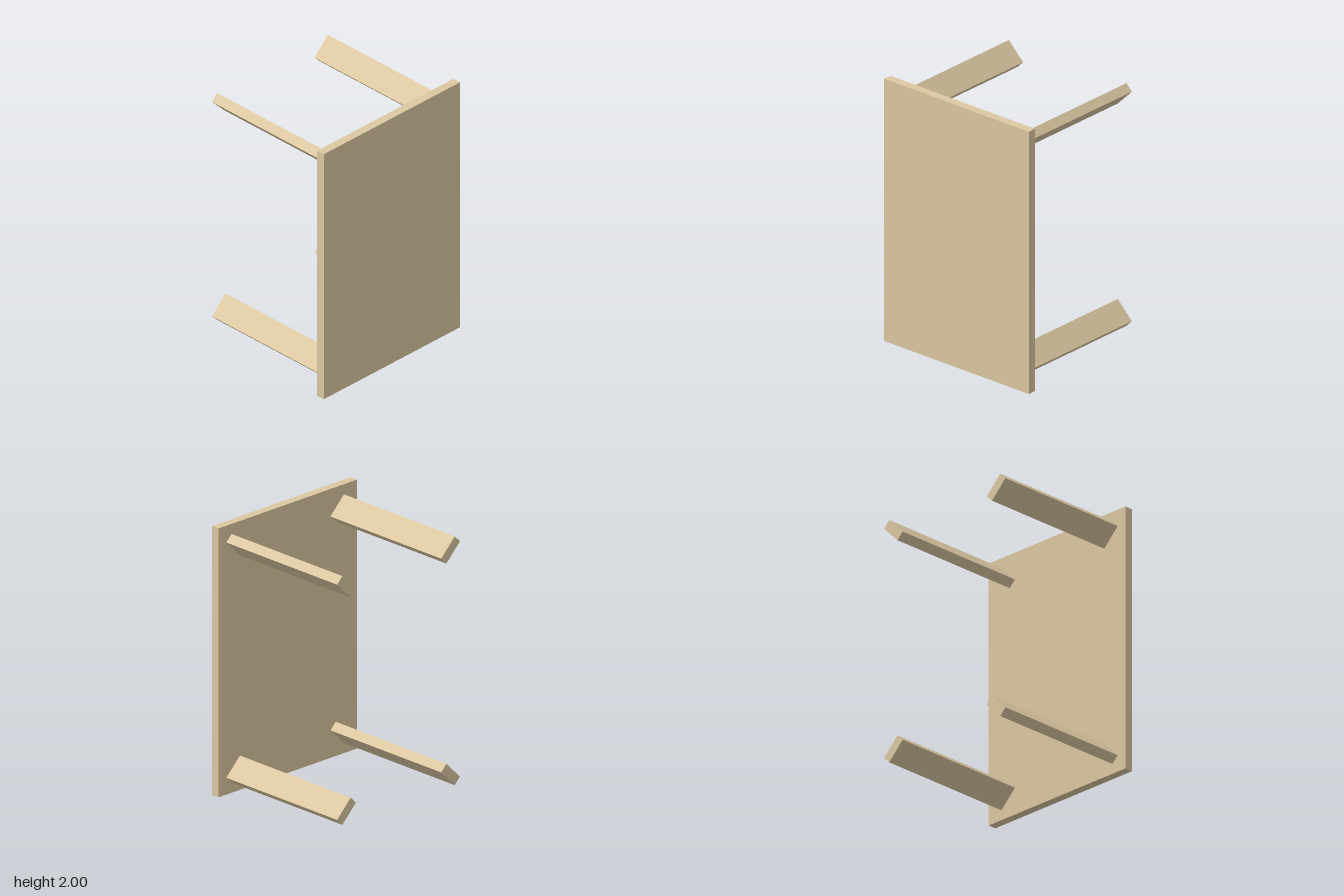
import * as THREE from 'three';

export function createModel() {
  const model = new THREE.Group();
  const wood = new THREE.MeshStandardMaterial({ color: 0xdcc8a2 });

  function addBox(name, size, position, turn = 0) {
    const mesh = new THREE.Mesh(new THREE.BoxGeometry(...size), wood);
    mesh.name = name;
    mesh.position.set(...position);
    mesh.rotation.z = turn;
    model.add(mesh);
  }

  // Table top, standing on its short edge
  const back = 0.52, depth = 0.585;
  addBox('tableTop', [1.33, 2, depth - back], [0, 1, (depth + back) / 2]);

  // Plank legs, each turned so its broad side points to the nearest corner
  const legLength = depth + back;
  for (const sx of [-1, 1]) {
    for (const sy of [-1, 1]) {
      const name = (sy > 0 ? 'upper' : 'lower') + (sx > 0 ? 'Left' : 'Right') + 'Leg';
      addBox(name, [0.184, 0.071, legLength],
        [sx * 0.5, 1 + sy * 0.835, (back - depth) / 2], sx * sy * Math.PI / 4);
    }
  }
  return model;
}
